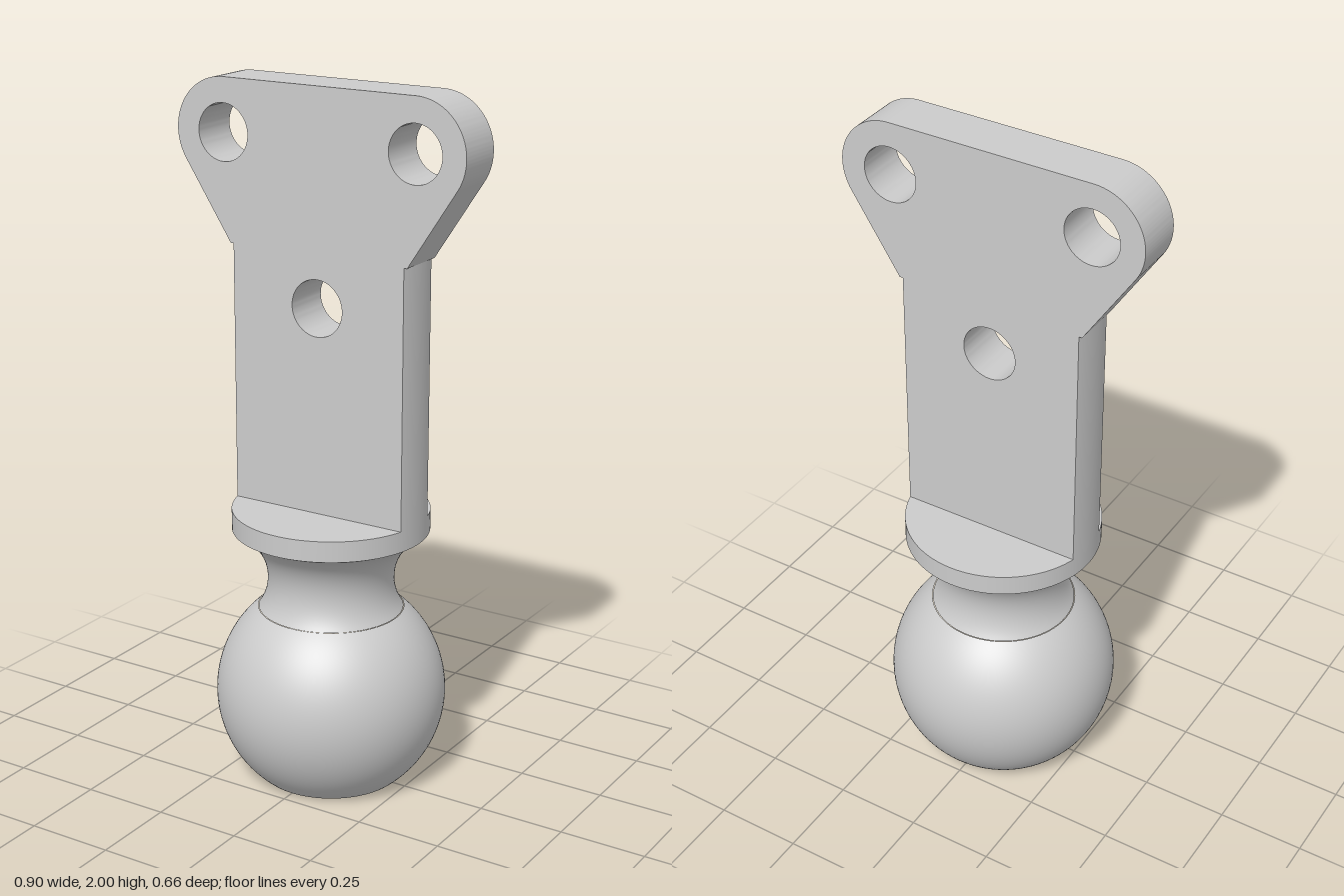
import * as THREE from 'three';
import { toCreasedNormals } from 'three/addons/utils/BufferGeometryUtils.js';

const SEG = 96;
const R_STEM = 0.28, HALF_T = 0.0725;
const Y_RIM = 0.75, Y_TOP = 0.81, Y_LEDGE = 1.547;
const material = new THREE.MeshStandardMaterial({ color: 0xcccccc });

function add(group, name, geometry) {
  const mesh = new THREE.Mesh(geometry, material);
  mesh.name = name;
  group.add(mesh);
  return mesh;
}

// Points [radius, y] along a circular arc, for a lathe
function arcProfile(cx, cy, r, a0, a1, n) {
  return Array.from({ length: n + 1 }, (_, i) => {
    const a = a0 + (a1 - a0) * i / n;
    return new THREE.Vector2(cx + r * Math.cos(a), cy + r * Math.sin(a));
  });
}

export function createModel() {
  const model = new THREE.Group();
  model.name = 'ballMount';

  // Ball with a flat cut at the bottom
  const ballR = 0.33, ballY = 0.255, joinY = 0.511;
  const a0 = Math.asin(-ballY / ballR), a1 = Math.asin((joinY - ballY) / ballR);
  add(model, 'ball', new THREE.LatheGeometry(arcProfile(0, ballY, ballR, a0, a1, 40), SEG));
  const base = new THREE.CircleGeometry(ballR * Math.cos(a0), SEG);
  add(model, 'ballBase', base.rotateX(Math.PI / 2));

  // Concave neck flaring up to the collar
  const neckR = 0.1625, neckY = 0.6;
  const n0 = Math.PI + Math.asin((neckY - joinY) / neckR);
  const n1 = Math.PI - Math.asin((Y_RIM - neckY) / neckR);
  add(model, 'neck', new THREE.LatheGeometry(arcProfile(0.18 + neckR, neckY, neckR, n0, n1, 24), SEG));

  // Collar disc
  add(model, 'collar', new THREE.CylinderGeometry(R_STEM, R_STEM, Y_TOP - Y_RIM, SEG))
    .position.y = (Y_RIM + Y_TOP) / 2;

  // Plate: straight stem widening into two rounded ears
  const flatX = Math.sqrt(R_STEM ** 2 - HALF_T ** 2);
  const earX = 0.3, earY = 1.85, earR = 0.15, tangent = 0.565;
  const outline = new THREE.Shape();
  outline.moveTo(-flatX, Y_TOP);
  outline.lineTo(flatX, Y_TOP);
  outline.lineTo(flatX, Y_LEDGE);
  outline.lineTo(R_STEM, Y_LEDGE);
  outline.absarc(earX, earY, earR, -tangent, Math.PI / 2, false);
  outline.absarc(-earX, earY, earR, Math.PI / 2, Math.PI + tangent, false);
  outline.lineTo(-R_STEM, Y_LEDGE);
  outline.lineTo(-flatX, Y_LEDGE);
  outline.closePath();
  for (const [x, y] of [[-earX, earY], [earX, earY], [0, 1.4]]) {
    outline.holes.push(new THREE.Path().absarc(x, y, 0.08, 0, Math.PI * 2, true));
  }
  const plate = new THREE.ExtrudeGeometry(outline, {
    depth: HALF_T * 2, bevelEnabled: false, curveSegments: 32,
  });
  plate.translate(0, 0, -HALF_T);
  add(model, 'plate', toCreasedNormals(plate, 0.4));

  // Curved side edges of the stem, flush with the collar
  const half = Math.asin(HALF_T / R_STEM);
  for (const side of [1, -1]) {
    add(model, side > 0 ? 'leftStemEdge' : 'rightStemEdge', new THREE.CylinderGeometry(
      R_STEM, R_STEM, Y_LEDGE - Y_TOP, 12, 1, true, side * Math.PI / 2 - half, half * 2,
    )).position.y = (Y_TOP + Y_LEDGE) / 2;
  }
  return model;
}
